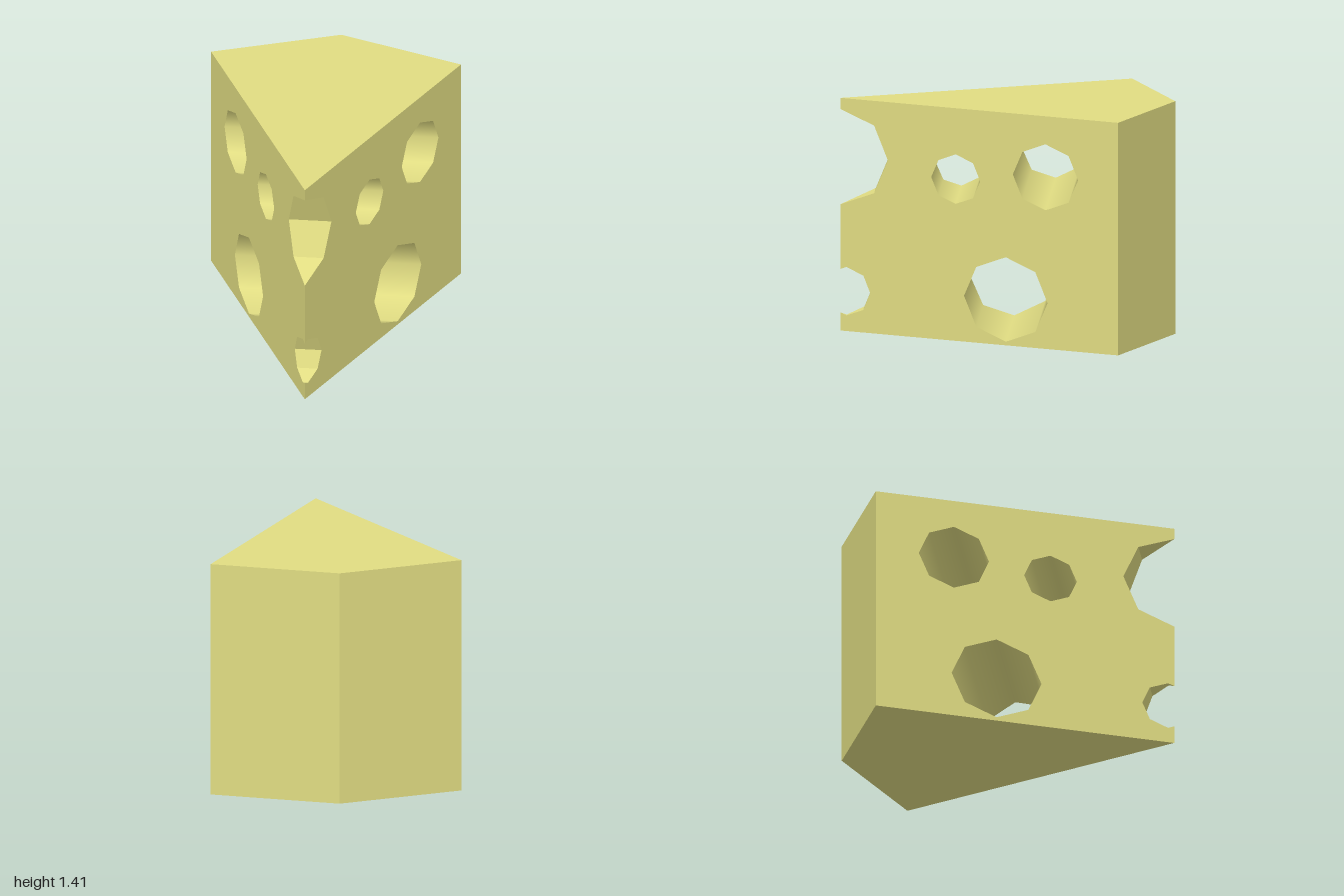
import * as THREE from 'three';

const HEIGHT = 1.41;
const BACK = -0.7;        // z of the two wide corners
const HALF_WIDTH = 0.75;

// round holes running from side to side: [z, y, radius]
const HOLES = [
  [0.295, 0.98, 0.15],
  [-0.255, 1.04, 0.2],
  [-0.012, 0.278, 0.256],
];

// side outline as [z, y], with two bites taken out of the thin front edge
const OUTLINE = [
  [BACK, 0], [1, 0],
  [1, 0.11], [0.965, 0.094], [0.861, 0.137], [0.818, 0.241], [0.861, 0.345], [0.965, 0.388], [1, 0.374],
  [1, 0.766], [0.795, 0.85], [0.71, 1.055], [0.795, 1.26], [1, 1.342],
  [1, HEIGHT], [BACK, HEIGHT],
];

function octagon(z, y, r) {
  const points = [];
  for (let i = 0; i < 8; i++) {
    const a = (i * Math.PI) / 4;
    points.push(new THREE.Vector2(-z + r * Math.cos(a), y + r * Math.sin(a)));
  }
  return new THREE.Path(points);
}

export function createModel() {
  const cheese = new THREE.MeshStandardMaterial({ color: 0xe0dc82 });
  cheese.name = 'cheese yellow';

  const side = new THREE.Shape(OUTLINE.map(([z, y]) => new THREE.Vector2(-z, y)));
  side.holes = HOLES.map((h) => octagon(...h));

  // extrude across the width, with a middle row for the back ridge
  const geometry = new THREE.ExtrudeGeometry(side, { depth: 2, steps: 2, bevelEnabled: false });
  const wallStart = geometry.groups[1].start;
  geometry.clearGroups();
  geometry.translate(0, 0, -1);
  geometry.rotateY(Math.PI / 2);

  // taper to the front edge and pull the middle of the back out to a ridge
  const pos = geometry.attributes.position;
  for (let i = 0; i < pos.count; i++) {
    const x = pos.getX(i), z = pos.getZ(i);
    pos.setX(i, (x * HALF_WIDTH * (1 - z)) / (1 - BACK));
    if (Math.abs(x) < 1e-4 && Math.abs(z - BACK) < 1e-4) pos.setZ(i, -1);
  }
  geometry.computeVertexNormals();

  // smooth normals inside the holes
  const normal = geometry.attributes.normal;
  for (let i = wallStart; i < pos.count; i++) {
    for (const [z, y, r] of HOLES) {
      const dz = z - pos.getZ(i), dy = y - pos.getY(i);
      if (Math.abs(Math.hypot(dz, dy) - r) < 1e-3) normal.setXYZ(i, 0, dy / r, dz / r);
    }
  }

  const wedge = new THREE.Mesh(geometry, cheese);
  wedge.name = 'cheeseWedge';
  const group = new THREE.Group();
  group.name = 'cheese';
  group.add(wedge);
  return group;
}
